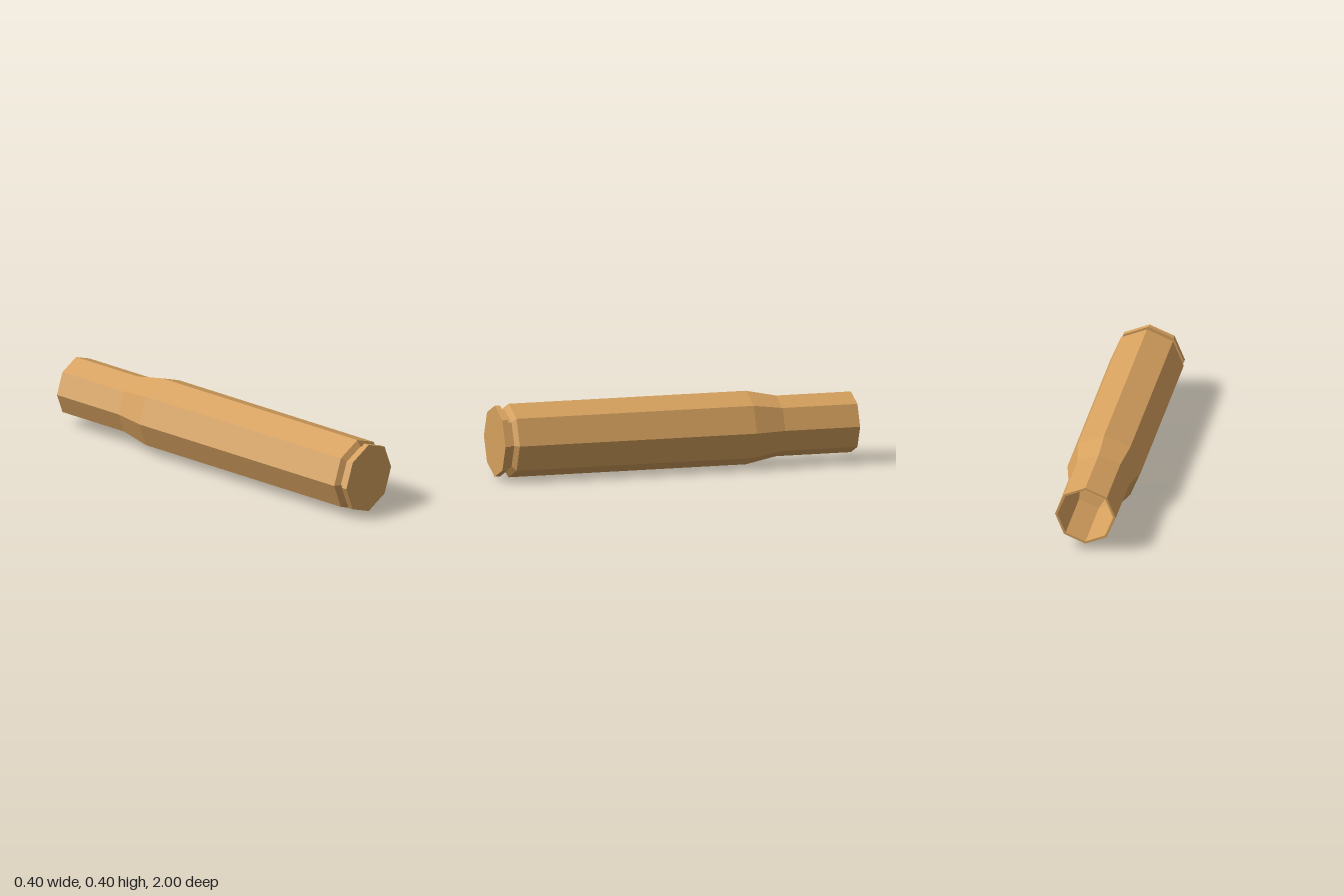
import * as THREE from 'three';

export function createModel() {
  const model = new THREE.Group();
  model.name = 'cartridgeCase';

  const brass = new THREE.MeshStandardMaterial({ color: 0xd6a15e });
  brass.name = 'brass';

  // Eight-sided faceted turning along z; each profile point is [radius, z].
  function turned(name, profile) {
    const points = profile.map(([r, z]) => new THREE.Vector2(r, -z));
    const geometry = new THREE.LatheGeometry(points, 8).rotateX(-Math.PI / 2).toNonIndexed();
    geometry.computeVertexNormals();
    const mesh = new THREE.Mesh(geometry, brass);
    mesh.name = name;
    mesh.position.y = 0.2;
    model.add(mesh);
  }

  // Closed base with its rim
  turned('baseRim', [[0, 1], [0.193, 1], [0.193, 0.97], [0.168, 0.97]]);
  // Extractor groove with the bevel up to the body
  turned('extractorGroove', [[0.168, 0.97], [0.168, 0.943], [0.2, 0.922]]);
  // Long body
  turned('body', [[0.2, 0.922], [0.2, -0.41]]);
  // Tapering shoulder
  turned('shoulder', [[0.2, -0.41], [0.165, -0.58]]);
  // Neck and the thin edge of the mouth
  turned('neck', [[0.165, -0.58], [0.165, -1], [0.152, -1]]);
  // Hollow inside, from the mouth down to the base
  turned('bore', [[0.152, -1], [0.152, -0.58], [0.186, -0.41], [0.186, 0.9], [0, 0.9]]);

  return model;
}
